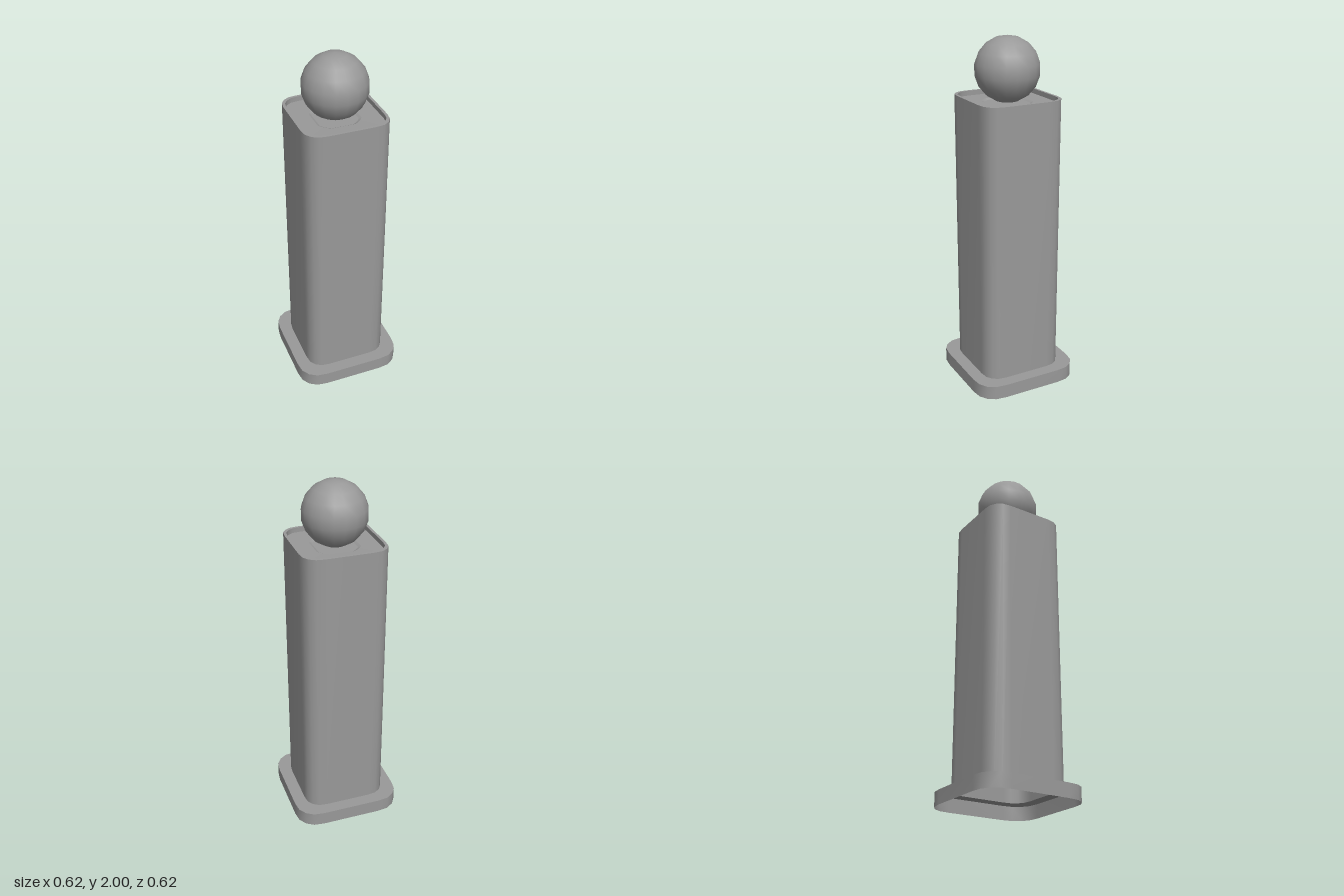
import * as THREE from 'three';

const material = new THREE.MeshStandardMaterial({ color: 0x999999, side: THREE.DoubleSide });

// Softened square outline of half-width 1: one quarter turned four times
const quarter = [[1, -0.545], [1, 0.545], [0.974, 0.747], [0.885, 0.885], [0.747, 0.974]];
const square = [];
for (let k = 0; k < 4; k++) {
  for (const [x, z] of quarter) {
    const c = [1, 0, -1, 0][k], s = [0, 1, 0, -1][k];
    square.push([x * c - z * s, x * s + z * c]);
  }
}
// Round outline with the same number of points
const circle = square.map(([x, z]) => [x / Math.hypot(x, z), z / Math.hypot(x, z)]);

// Band between two outlines given as [shape, half-width, height]; smooth around, sharp at its rims
function band(name, from, to) {
  const n = square.length, positions = [], index = [];
  for (const [shape, r, y] of [from, to]) {
    for (const [x, z] of shape) positions.push(x * r, y, z * r);
  }
  for (let i = 0; i < n; i++) {
    const j = (i + 1) % n;
    index.push(i, n + i, j);
    if (to[1] > 0) index.push(j, n + i, n + j);
  }
  const geometry = new THREE.BufferGeometry();
  geometry.setAttribute('position', new THREE.Float32BufferAttribute(positions, 3));
  geometry.setIndex(index);
  geometry.computeVertexNormals();
  const mesh = new THREE.Mesh(geometry, material);
  mesh.name = name;
  return mesh;
}

export function createModel() {
  const model = new THREE.Group();
  model.name = 'bollard';

  // Hollow shell, from the foot up over the rim, into the shallow tray and its round dish
  const profile = [
    [square, 0.312, 0], [square, 0.312, 0.08], [square, 0.24, 0.08], [square, 0.24, 1.672],
    [square, 0.225, 1.672], [square, 0.225, 1.645],
    [circle, 0.14, 1.643], [circle, 0.125, 1.636], [circle, 0, 1.636],
  ];
  const names = ['footSkirt', 'footTop', 'postWall', 'rim', 'trayWall', 'trayFloor',
    'dishWall', 'dishFloor'];
  names.forEach((name, i) => model.add(band(name, profile[i], profile[i + 1])));

  // Ball finial
  const ball = new THREE.Mesh(new THREE.SphereGeometry(0.181, 18, 9), material);
  ball.name = 'ball';
  ball.position.y = 1.819;
  ball.rotation.y = Math.PI / 2;
  model.add(ball);

  return model;
}
